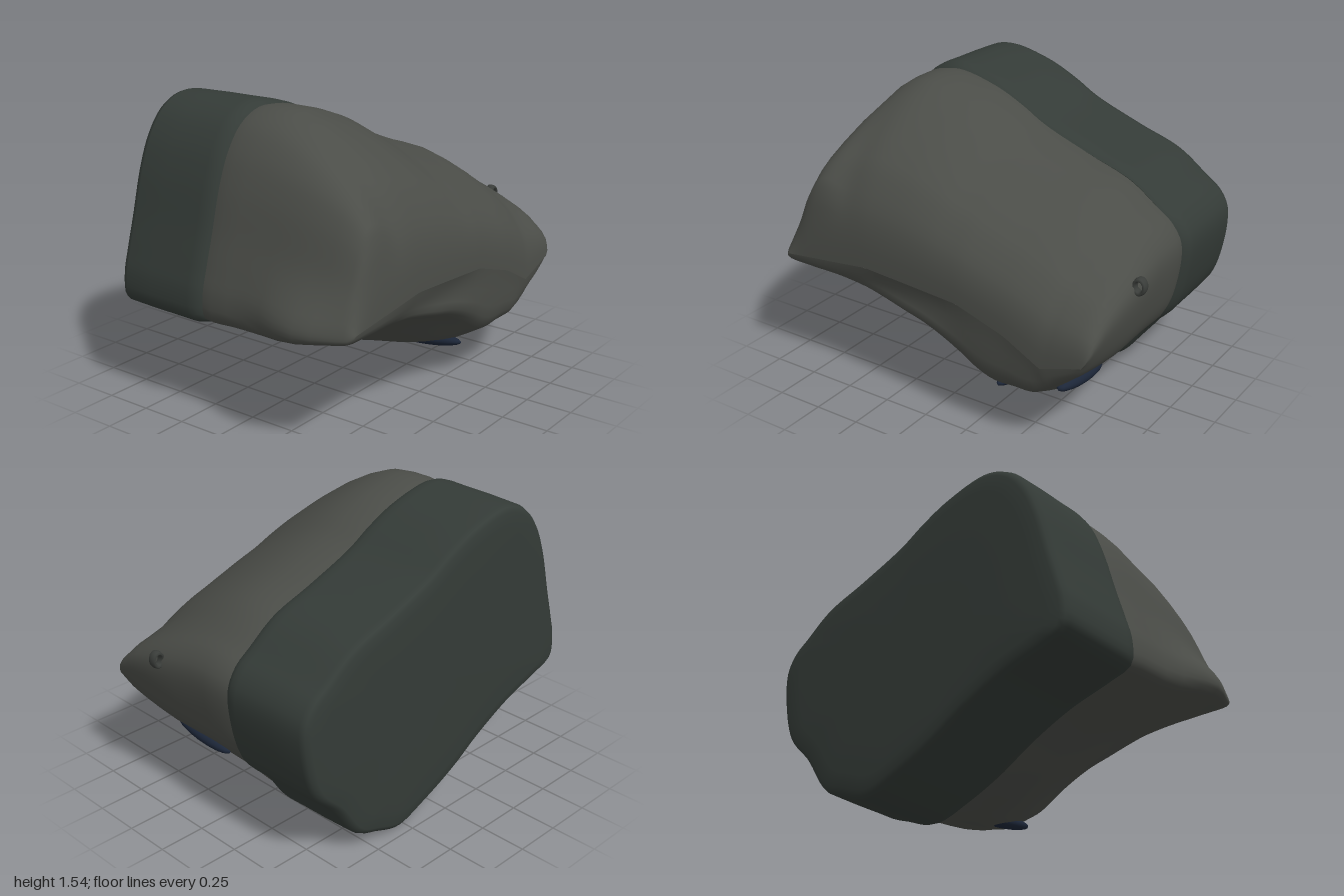
import * as THREE from 'three';

const { lerp, clamp, smoothstep } = THREE.MathUtils;

// Outline of the boulder seen from the front, counter-clockwise
const outline = [
  [0.94, 0.62], [0.955, 0.85], [0.9, 0.95], [0.82, 1.01], [0.65, 1.13], [0.4, 1.22], [0.12, 1.33], [-0.02, 1.41],
  [-0.2, 1.49], [-0.46, 1.54], [-0.61, 1.48], [-0.71, 1.36], [-0.78, 1.2], [-0.85, 0.95], [-0.9, 0.78], [-0.93, 0.66],
  [-0.92, 0.53], [-0.8, 0.48], [-0.55, 0.4], [-0.3, 0.28], [-0.1, 0.16], [0.12, 0.06], [0.31, 0], [0.48, 0.05],
  [0.6, 0.1], [0.74, 0.29], [0.88, 0.44],
];
const curve = new THREE.CatmullRomCurve3(outline.map(([x, y]) => new THREE.Vector3(x, y, 0)), true, 'centripetal');
const ring = curve.getSpacedPoints(140).slice(0, -1);

// Piecewise linear lookup in [key, value] pairs
function lookup(table, k) {
  for (let i = 1; i < table.length; i++) {
    const [a, va] = table[i - 1], [b, vb] = table[i];
    if (k <= b) return lerp(va, vb, clamp((k - a) / (b - a), 0, 1));
  }
  return table[table.length - 1][1];
}

// Height of the blunt front ridge across the width
const ridge = (x) => lookup([[-1, 0.66], [-0.4, 0.72], [0.2, 0.68], [0.5, 0.59], [0.72, 0.48], [0.95, 0.55]], x);

// Skin equal closed loops; loops run towards +z
function loft(loops) {
  const n = loops[0].length, pos = [], idx = [];
  loops.forEach((l) => l.forEach((p) => pos.push(p.x, p.y, p.z)));
  for (let i = 0; i < loops.length - 1; i++) {
    for (let j = 0; j < n; j++) {
      const a = i * n + j, b = i * n + (j + 1) % n;
      idx.push(a, b, b + n, a, b + n, a + n);
    }
  }
  const g = new THREE.BufferGeometry();
  g.setAttribute('position', new THREE.Float32BufferAttribute(pos, 3));
  g.setIndex(idx);
  g.computeVertexNormals();
  return g;
}

// Outline scaled about the middle of the block
const rearLoop = ([z, s]) => ring.map((p) => new THREE.Vector3(p.x * s, 0.75 + (p.y - 0.75) * s, z));

// Front loop: upper part shrinks by f, lower part by g, both towards the ridge
function frontLoop([z, f, g, s]) {
  return ring.map((p) => {
    const mid = ridge(p.x), d = p.y - mid;
    // the left end stays fuller above and is undercut below
    const up = f + (1 - f) * 0.4 * smoothstep(-p.x, 0.5, 0.8) * smoothstep(z, 0.1, 0.4) * smoothstep(0.735 - z, 0, 0.05);
    const low = g * (1 - 0.32 * smoothstep(-p.x, -0.45, 0.1) * smoothstep(z, 0.1, 0.6));
    const y = mid + d * (d > 0 ? up : low);
    // flare of the left corner
    const flare = Math.exp(-(((z - 0.44) / 0.2) ** 2)) * Math.exp(-(((y - 0.65) / 0.14) ** 2));
    const x = p.x * s - (p.x < -0.7 ? 0.075 * flare : 0);
    // shallow crease below the ridge
    const crease = 0.03 * smoothstep(z, 0.6, 0.7) * Math.exp(-(((mid - y - 0.08) / 0.05) ** 2)) * Math.exp(-((x / 0.5) ** 2));
    return new THREE.Vector3(x, y, z - crease);
  });
}

export function createModel() {
  const model = new THREE.Group();
  const add = (name, geometry, color) => {
    const mesh = new THREE.Mesh(geometry, new THREE.MeshStandardMaterial({ color, side: THREE.DoubleSide }));
    mesh.name = name;
    model.add(mesh);
    return mesh;
  };

  // Rear block: flat back, rounded back edge, slight step at the front seam
  const rear = [
    [-0.725, 0], [-0.724, 0.3], [-0.722, 0.6], [-0.719, 0.85], [-0.713, 0.945], [-0.7, 0.975], [-0.67, 0.988],
    [-0.5, 0.995], [-0.35, 0.997], [-0.25, 1], [-0.21, 0.997], [-0.18, 0.982], [-0.165, 0.965],
  ];
  add('rearBlock', loft(rear.map(rearLoop)), 0x343b37);

  // Front mass rounding down to the ridge: z, upper, lower, width
  const rows = [
    [-0.17, 0.965, 0.94, 0.97], [-0.1, 0.985, 0.92, 0.985], [0, 0.985, 0.88, 0.985], [0.1, 0.97, 0.86, 0.985],
    [0.22, 0.91, 0.84, 0.99], [0.34, 0.83, 0.81, 0.995], [0.46, 0.73, 0.76, 0.99], [0.55, 0.64, 0.68, 0.985],
    [0.61, 0.56, 0.62, 0.98], [0.66, 0.45, 0.57, 0.975], [0.69, 0.38, 0.52, 0.97], [0.71, 0.3, 0.45, 0.965],
    [0.723, 0.22, 0.34, 0.955], [0.732, 0.12, 0.2, 0.945], [0.735, 0, 0, 0.925],
  ];
  add('frontMass', loft(rows.map(frontLoop)), 0x4b4d48);

  // Small loop of stone on the right edge
  const loop = add('edgeLoop', new THREE.TorusGeometry(0.036, 0.012, 8, 20), 0x3a3d3a);
  loop.position.set(0.963, 0.825, 0.33);
  loop.scale.set(0.75, 1, 2.2);

  // Long nubs hanging under the lower front edge
  [[0.31, 0.16, 0.34, 0.035, 0.22], [0.47, 0.2, 0.36, 0.035, 0.2], [0.67, 0.26, 0.36, 0.04, 0.21]]
    .forEach(([x, y, z, r, len]) => {
      const nub = add('lowerNub', new THREE.SphereGeometry(1, 16, 12), 0x1c2638);
      nub.position.set(x, y, z);
      nub.scale.set(r * 1.2, r, len);
      nub.rotation.x = -0.12;
    });
  return model;
}
